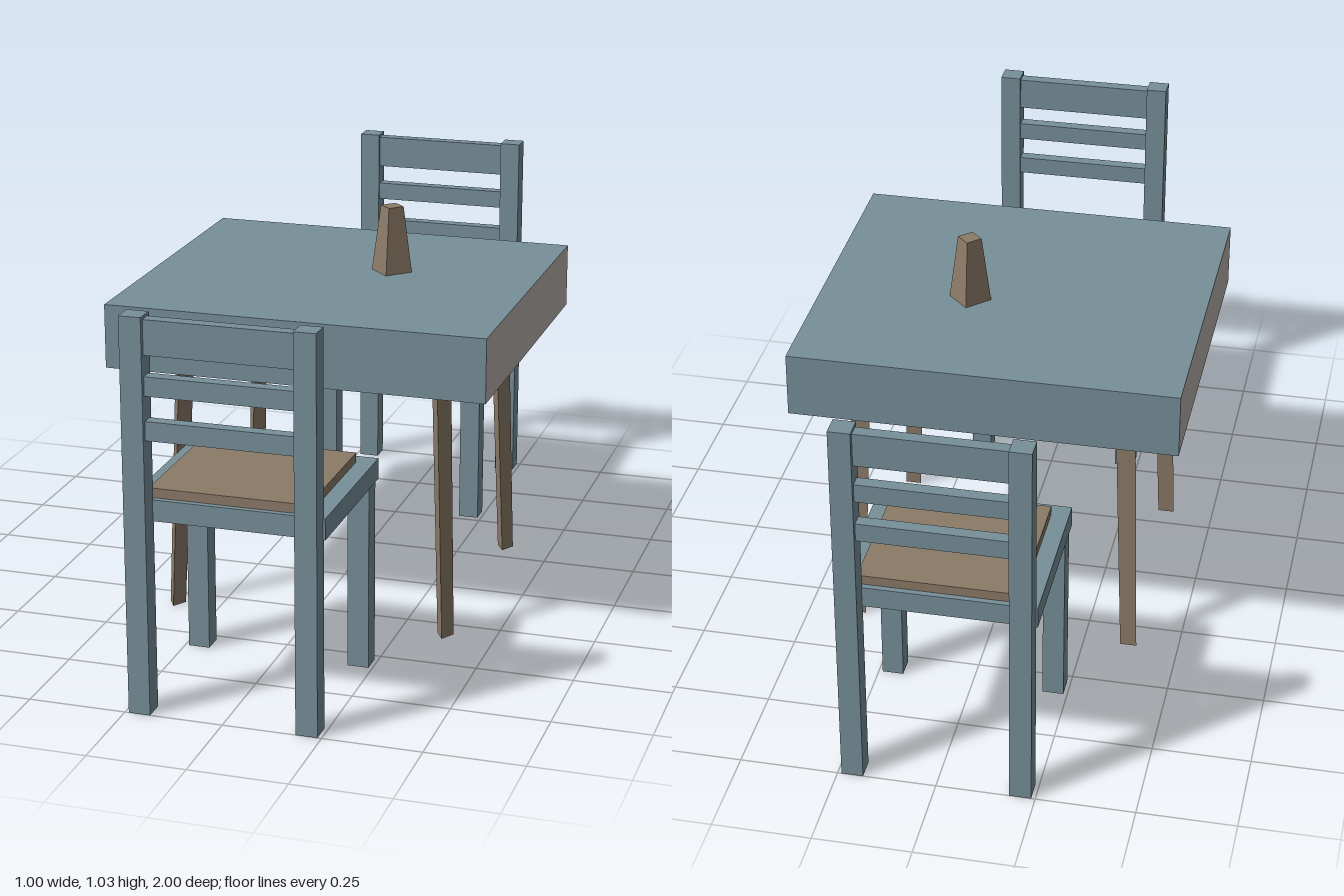
import * as THREE from 'three';

export function createModel() {
  const paint = new THREE.MeshStandardMaterial({ color: 0x78909a, flatShading: true });
  const wood = new THREE.MeshStandardMaterial({ color: 0x8c7b68, flatShading: true });
  const cloth = new THREE.MeshStandardMaterial({ color: 0x78909a, side: THREE.DoubleSide });
  const clothSide = new THREE.MeshStandardMaterial({ color: 0xb8b3ad, side: THREE.DoubleSide });
  paint.name = 'bluePaint';
  wood.name = 'brownWood';
  cloth.name = 'blueCloth';
  clothSide.name = 'greyCloth';

  const add = (parent, name, geometry, material) => {
    const mesh = new THREE.Mesh(geometry, material);
    mesh.name = name;
    parent.add(mesh);
    return mesh;
  };
  // box given by its lower and upper corner
  const box = (parent, name, material, [x0, y0, z0], [x1, y1, z1]) =>
    add(parent, name, new THREE.BoxGeometry(x1 - x0, y1 - y0, z1 - z0), material)
      .position.set((x0 + x1) / 2, (y0 + y1) / 2, (z0 + z1) / 2);

  // chair standing at +z with its back away from the table
  const makeChair = (name) => {
    const chair = new THREE.Group();
    chair.name = name;
    for (const s of [-1, 1]) {
      const a = Math.min(s * 0.185, s * 0.24), b = a + 0.055;
      box(chair, 'backPost', paint, [a, 0, 0.945], [b, 1.005, 1]);
      box(chair, 'frontLeg', paint, [a, 0, 0.522], [b, 0.485, 0.577]);
    }
    box(chair, 'seat', paint, [-0.245, 0.485, 0.512], [0.245, 0.539, 0.95]);
    box(chair, 'cushion', wood, [-0.2, 0.539, 0.553], [0.2, 0.563, 0.935]);
    for (const [y0, y1] of [[0.7, 0.748], [0.81, 0.858], [0.91, 0.997]])
      box(chair, 'backSlat', paint, [-0.185, y0, 0.955], [0.185, y1, 0.987]);
    return chair;
  };
  const model = new THREE.Group();
  model.name = 'diningSet';
  const backChair = makeChair('backChair');
  backChair.rotation.y = Math.PI;
  model.add(makeChair('frontChair'), backChair);

  const table = new THREE.Group();
  table.name = 'table';
  model.add(table);

  // open-bottomed cover: the box without its lower face
  const top = 0.853, bottom = 0.685;
  const cover = new THREE.BoxGeometry(1, top - bottom, 0.9);
  cover.groups = cover.groups.filter((g) => g.materialIndex !== 3);
  add(table, 'tableCover', cover, [clothSide, clothSide, cloth, cloth, cloth, cloth])
    .position.y = (top + bottom) / 2;

  // apron under the top
  for (const s of [-1, 1]) {
    const x = s * 0.44, z = s * 0.39;
    box(table, 'longApron', wood, [-0.45, 0.79, z - 0.01], [0.45, 0.85, z + 0.01]);
    box(table, 'shortApron', wood, [x - 0.01, 0.79, -0.38], [x + 0.01, 0.85, 0.38]);
  }

  // three-sided tapered legs, sheared outwards towards the floor
  for (const sx of [-1, 1]) for (const sz of [-1, 1]) {
    const leg = new THREE.CylinderGeometry(0.03, 0.025, 0.85, 3);
    leg.translate(0, 0.425, 0);
    const p = leg.attributes.position;
    for (let i = 0; i < p.count; i++) {
      const y = p.getY(i);
      p.setX(i, p.getX(i) + sx * (0.369 - 0.035 * y));
      p.setZ(i, p.getZ(i) + sz * (0.3225 - 0.028 * y));
    }
    add(table, 'tableLeg', leg, wood);
  }

  // four-sided tapered vase
  add(model, 'vase', new THREE.CylinderGeometry(0.031, 0.055, 0.177, 4), wood)
    .position.set(0.11, top + 0.0885, -0.067);

  return model;
}
